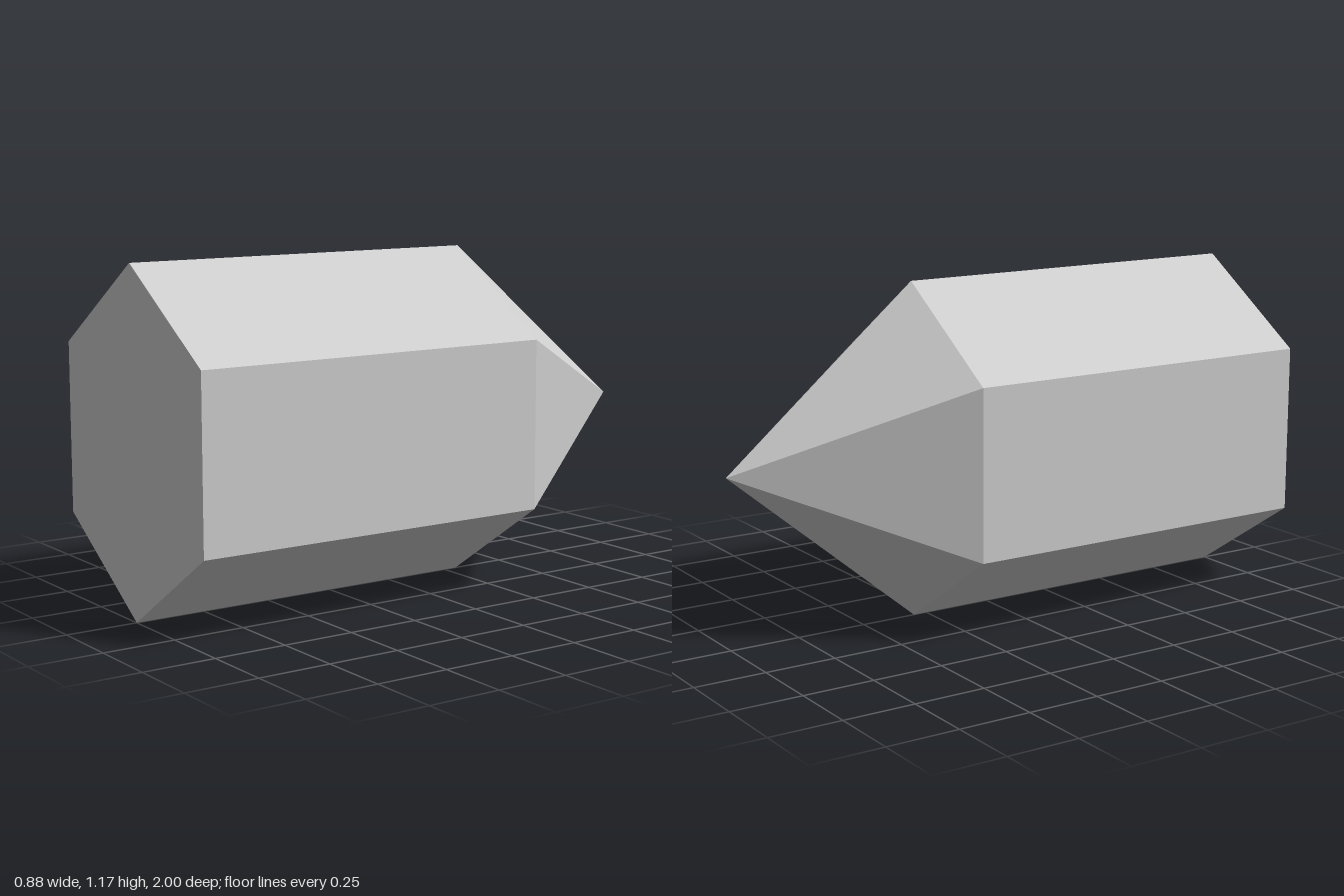
import * as THREE from 'three';

const RADIUS = 0.583;    // hexagon corner radius
const HALF_WIDTH = 0.44; // the hexagon is narrowed sideways
const SHOULDER = 0.3;    // where the shaft meets the tip

export function createModel() {
  const group = new THREE.Group();
  group.name = 'crystal';
  const grey = new THREE.MeshStandardMaterial({ color: 0xcccccc, flatShading: true });
  grey.name = 'light grey';

  // Six-sided lathe along z: profile is [radius, distance towards the back]
  function addHexPart(name, profile) {
    const geometry = new THREE.LatheGeometry(profile.map(([r, d]) => new THREE.Vector2(r, d)), 6);
    geometry.rotateX(-Math.PI / 2);
    geometry.scale(HALF_WIDTH / (RADIUS * Math.sin(Math.PI / 3)), 1, 1);
    geometry.translate(0, RADIUS, 0);
    const mesh = new THREE.Mesh(geometry, grey);
    mesh.name = name;
    group.add(mesh);
  }

  // Shaft with its flat front end
  addHexPart('shaft', [[0, -1], [RADIUS, -1], [RADIUS, SHOULDER]]);
  // Pyramid point at the back
  addHexPart('tip', [[RADIUS, SHOULDER], [0, 1]]);

  return group;
}
